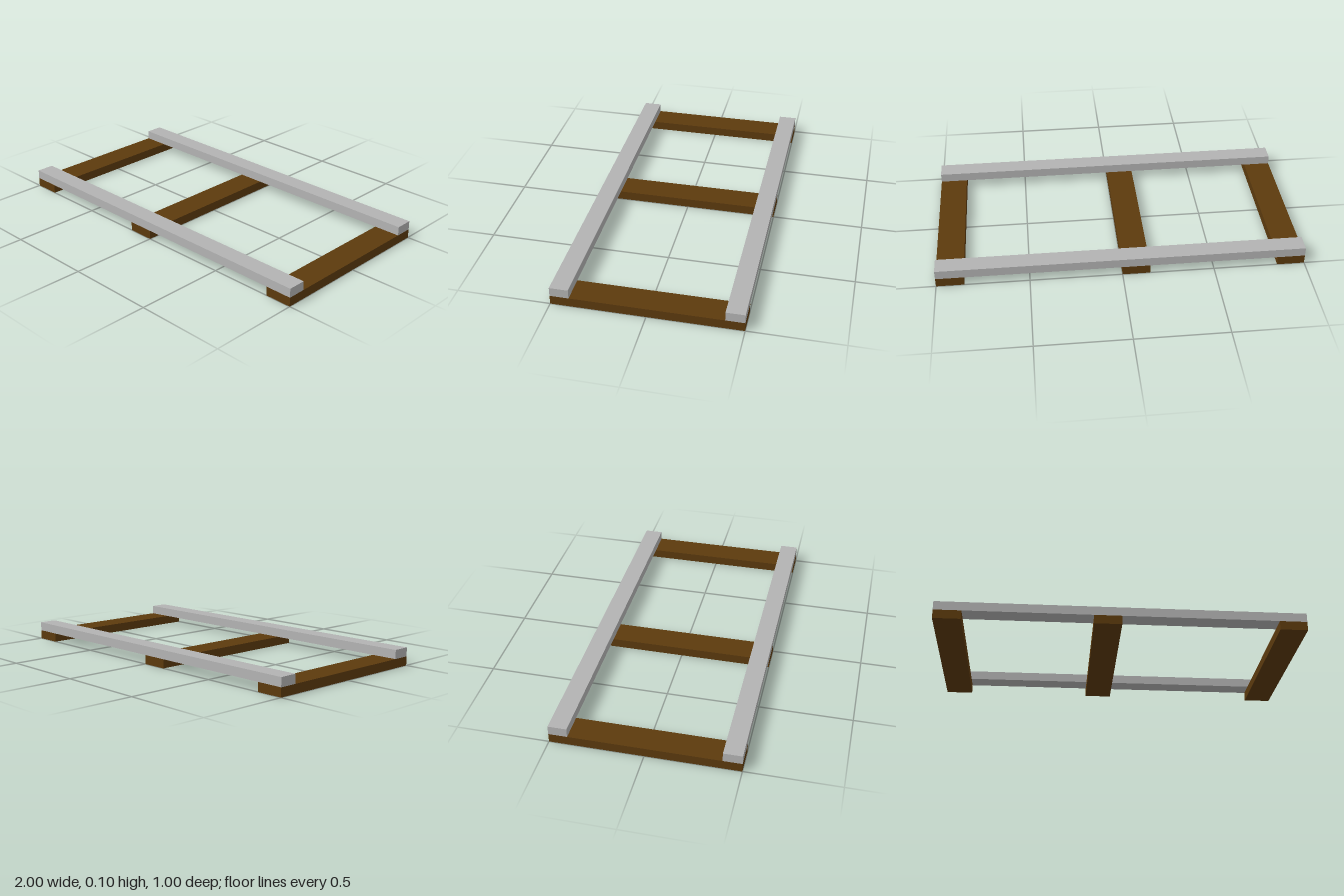
import * as THREE from 'three';

export function createModel() {
  const model = new THREE.Group();
  model.name = 'trackSection';

  const wood = new THREE.MeshStandardMaterial({ color: 0x5c3a0d });
  wood.name = 'brown wood';
  const metal = new THREE.MeshStandardMaterial({ color: 0xb3b3b3 });
  metal.name = 'grey metal';

  function addBox(name, size, position, material) {
    const mesh = new THREE.Mesh(new THREE.BoxGeometry(...size), material);
    mesh.name = name;
    mesh.position.set(...position);
    model.add(mesh);
  }

  // Three sleepers lying across the track; the middle one sits off centre
  const sleepers = { sleeperRight: -0.925, sleeperMiddle: -0.075, sleeperLeft: 0.925 };
  for (const [name, x] of Object.entries(sleepers)) {
    addBox(name, [0.15, 0.05, 1], [x, 0.025, 0], wood);
  }

  // Two rails resting on the sleeper ends
  const rails = { railFront: 0.45, railBack: -0.45 };
  for (const [name, z] of Object.entries(rails)) {
    addBox(name, [2, 0.05, 0.1], [0, 0.075, z], metal);
  }

  return model;
}
